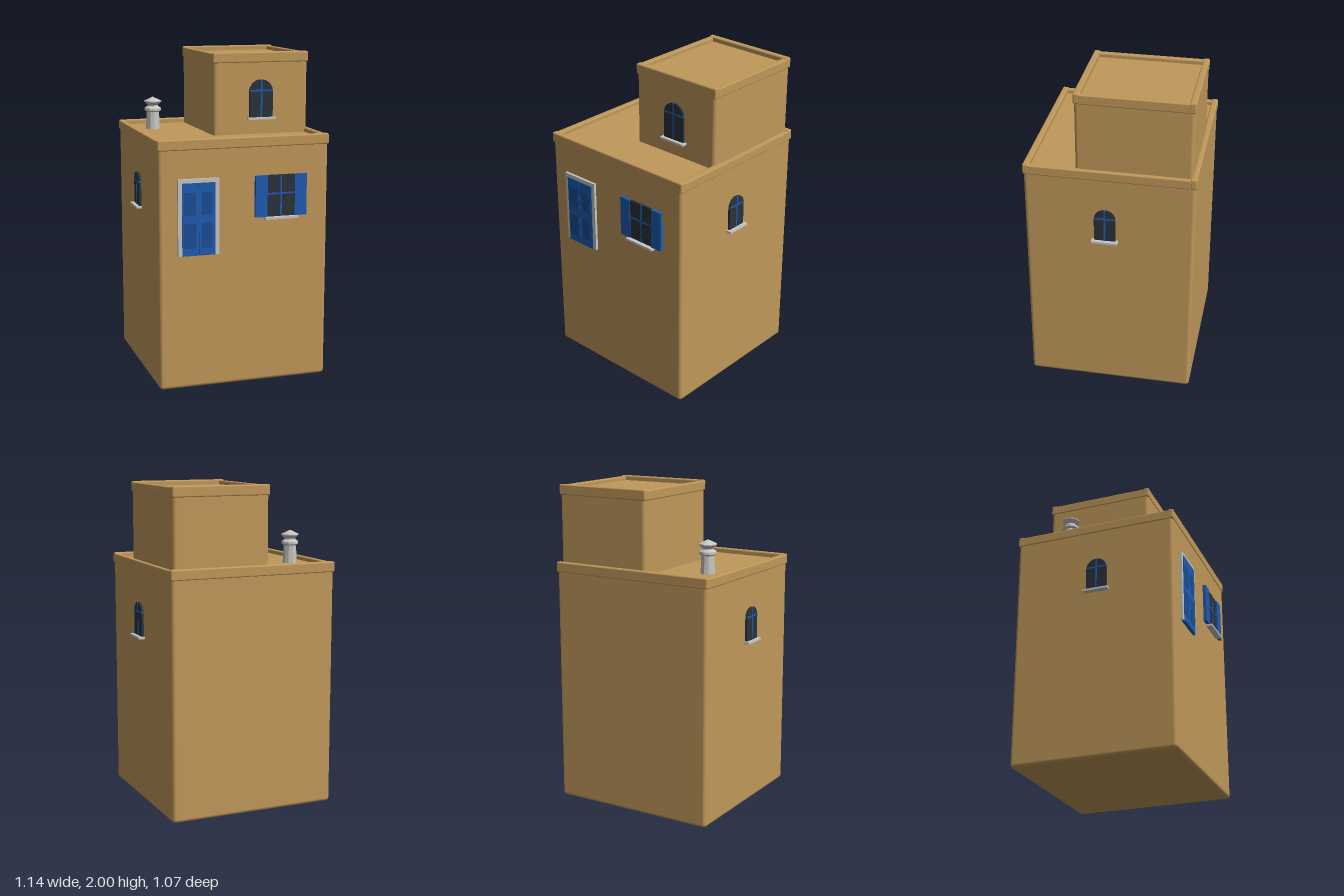
import * as THREE from 'three';
import { RoundedBoxGeometry } from 'three/addons/geometries/RoundedBoxGeometry.js';

const material = (name, color) => {
  const m = new THREE.MeshStandardMaterial({ color });
  m.name = name;
  return m;
};

export function createModel() {
  const plaster = material('ochre plaster', 0xc0985a);
  const blue = material('blue paint', 0x1f5cb3);
  const darkBlue = material('dark blue paint', 0x1b4d96);
  const glass = material('dark glass', 0x2b323b);
  const stone = material('pale stone', 0xc8c7c2);

  const house = new THREE.Group();
  house.name = 'house';

  const add = (parent, name, geometry, mat) => {
    const mesh = new THREE.Mesh(geometry, mat);
    mesh.name = name;
    parent.add(mesh);
    return mesh;
  };
  // Box given by its limits on each axis; a radius rounds its edges
  const box = (parent, name, mat, [x0, x1], [y0, y1], [z0, z1], radius = 0) => {
    const size = [x1 - x0, y1 - y0, z1 - z0];
    const g = radius ? new RoundedBoxGeometry(...size, 2, radius) : new THREE.BoxGeometry(...size);
    g.translate((x0 + x1) / 2, (y0 + y1) / 2, (z0 + z1) / 2);
    return add(parent, name, g, mat);
  };

  // A storey: rounded walls, flat roof and four parapet bars
  const storey = (name, [x0, x1], [y0, y1], [z0, z1]) => {
    const g = new THREE.Group();
    g.name = name;
    house.add(g);
    const inset = 0.004, t = 0.038, low = y1 - 0.065;
    box(g, 'walls', plaster, [x0 + inset, x1 - inset], [y0, y1 - 0.03], [z0 + inset, z1 - inset], 0.022);
    for (const [a, b] of [[z0, z0 + t], [z1 - t, z1]])
      box(g, 'parapetLong', plaster, [x0, x1], [low, y1], [a, b], 0.009);
    for (const [a, b] of [[x0, x0 + t], [x1 - t, x1]])
      box(g, 'parapetSide', plaster, [a, b], [low, y1 - 0.006], [z0 + 0.03, z1 - 0.03], 0.007);
  };
  storey('lowerStorey', [-0.536, 0.536], [0, 1.525], [-0.535, 0.497]);
  storey('upperStorey', [-0.104, 0.516], [1.44, 2], [-0.514, 0.188]);

  // Chimney pot with a collar and a conical cap
  const pot = [[0.045, 1.47], [0.04, 1.605], [0.053, 1.614], [0.053, 1.628], [0.034, 1.642],
    [0.034, 1.648], [0.055, 1.669], [0.055, 1.675], [0.001, 1.7]];
  const potGeometry = new THREE.LatheGeometry(pot.map(([r, y]) => new THREE.Vector2(r, y)), 10).toNonIndexed();
  potGeometry.computeVertexNormals();
  add(house, 'chimney', potGeometry, stone).position.set(-0.375, 0, -0.247);

  // Arched window facing +z, origin at the bottom centre on the wall
  const archedWindow = (name, w, h) => {
    const g = new THREE.Group();
    g.name = name;
    const r = w / 2;
    const shape = new THREE.Shape();
    shape.moveTo(-r, 0);
    shape.lineTo(r, 0);
    shape.lineTo(r, h - r);
    shape.absarc(0, h - r, r, 0, Math.PI, false);
    const pane = new THREE.ExtrudeGeometry(shape, { depth: 0.014, bevelEnabled: false, curveSegments: 10 });
    add(g, 'pane', pane, glass);
    box(g, 'uprightBar', blue, [-0.005, 0.005], [0, h], [0, 0.016]);
    box(g, 'crossBar', blue, [-r, r], [h - r + 0.003, h - r + 0.013], [0, 0.016]);
    box(g, 'sill', stone, [-r - 0.015, r + 0.015], [-0.01, 0.003], [-0.005, 0.036]);
    house.add(g);
    return g;
  };
  archedWindow('upperWindow', 0.15, 0.235).position.set(0.205, 1.597, 0.184);
  for (const side of [-1, 1]) {
    const win = archedWindow(side > 0 ? 'leftWindow' : 'rightWindow', 0.13, 0.21);
    win.position.set(side * 0.533, 1.056, 0.004);
    win.rotation.y = side * Math.PI / 2;
  }

  // Door with a pale frame and two leaves of recessed panels
  const door = new THREE.Group();
  door.name = 'door';
  house.add(door);
  const wall = 0.488;
  box(door, 'frameTop', stone, [-0.418, -0.165], [1.268, 1.292], [wall, 0.509]);
  box(door, 'frameRight', stone, [-0.418, -0.394], [0.83, 1.268], [wall, 0.509]);
  box(door, 'frameLeft', stone, [-0.189, -0.165], [0.83, 1.268], [wall, 0.509]);
  for (const [x0, x1, p0, p1] of [[-0.394, -0.2925, -0.384, -0.309], [-0.2905, -0.189, -0.274, -0.208]]) {
    box(door, 'leaf', blue, [x0, x1], [0.83, 1.268], [wall, 0.514]);
    for (const y of [[0.876, 1.028], [1.076, 1.212]])
      box(door, 'doorPanel', darkBlue, [p0, p1], y, [0.51, 0.516]);
  }

  // Square window with open shutters
  const win = new THREE.Group();
  win.name = 'shutteredWindow';
  house.add(win);
  box(win, 'pane', glass, [0.135, 0.315], [1.035, 1.29], [wall, 0.507]);
  box(win, 'uprightBar', blue, [0.22, 0.23], [1.035, 1.29], [wall, 0.509]);
  box(win, 'crossBar', blue, [0.135, 0.315], [1.172, 1.182], [wall, 0.509]);
  for (const x of [[0.062, 0.138], [0.312, 0.388]])
    box(win, 'shutter', blue, x, [1.037, 1.29], [wall, 0.513]);
  box(win, 'sill', stone, [0.12, 0.33], [1.023, 1.037], [wall, 0.532]);

  return house;
}
